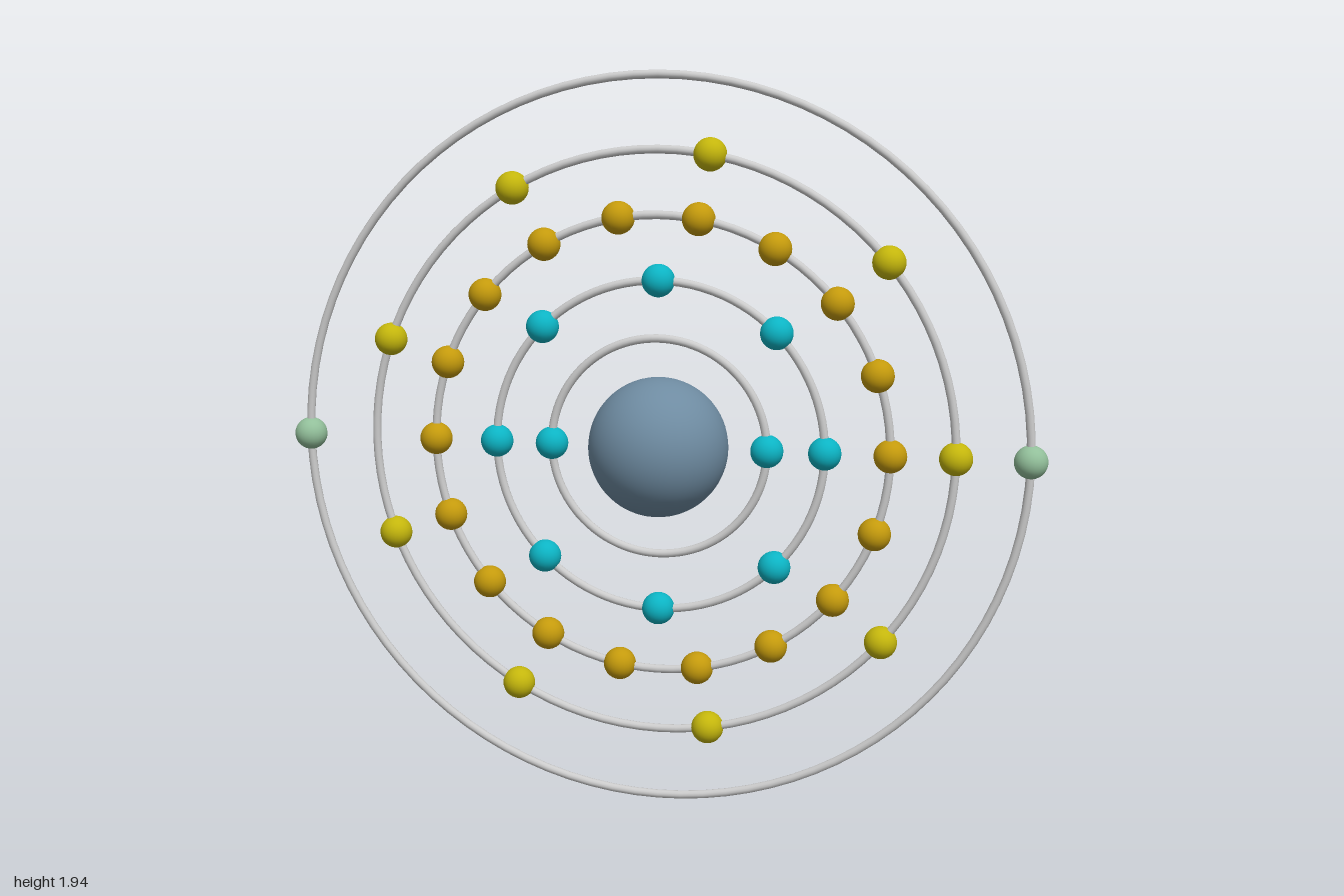
import * as THREE from 'three';

// Shells from the inside out: radius, number of electrons, electron colour
const SHELLS = [
  { radius: 0.286, count: 2, color: 0x0cb4c4 },
  { radius: 0.436, count: 8, color: 0x0cb4c4 },
  { radius: 0.604, count: 18, color: 0xc49a0c },
  { radius: 0.77, count: 9, color: 0xc4b60c },
  { radius: 0.957, count: 2, color: 0x92bf9a },
];
const TUBE = 0.011;
const ELECTRON = 0.043;
const NUCLEUS = 0.183;

export function createModel() {
  const model = new THREE.Group();
  model.name = 'atomModel';

  const atom = new THREE.Group();
  atom.name = 'atom';
  atom.position.y = 0.957 + TUBE;
  model.add(atom);

  // Nucleus
  const nucleus = new THREE.Mesh(
    new THREE.SphereGeometry(NUCLEUS, 48, 32),
    new THREE.MeshStandardMaterial({ color: 0x6e8ba1 })
  );
  nucleus.name = 'nucleus';
  atom.add(nucleus);

  const ringMaterial = new THREE.MeshStandardMaterial({ color: 0xcccccc });
  const electronGeometry = new THREE.SphereGeometry(ELECTRON, 24, 16);

  SHELLS.forEach(({ radius, count, color }, i) => {
    const shell = new THREE.Group();
    shell.name = `shell${i + 1}`;
    atom.add(shell);

    // Orbit ring, upright and facing front
    const ring = new THREE.Mesh(new THREE.TorusGeometry(radius, TUBE, 12, 96), ringMaterial);
    ring.name = 'orbitRing';
    shell.add(ring);

    // Electrons evenly spaced, the first at the model's left
    const material = new THREE.MeshStandardMaterial({ color });
    for (let k = 0; k < count; k++) {
      const a = (k / count) * Math.PI * 2;
      const electron = new THREE.Mesh(electronGeometry, material);
      electron.name = 'electron';
      electron.position.set(radius * Math.cos(a), radius * Math.sin(a), 0);
      shell.add(electron);
    }
  });

  return model;
}
